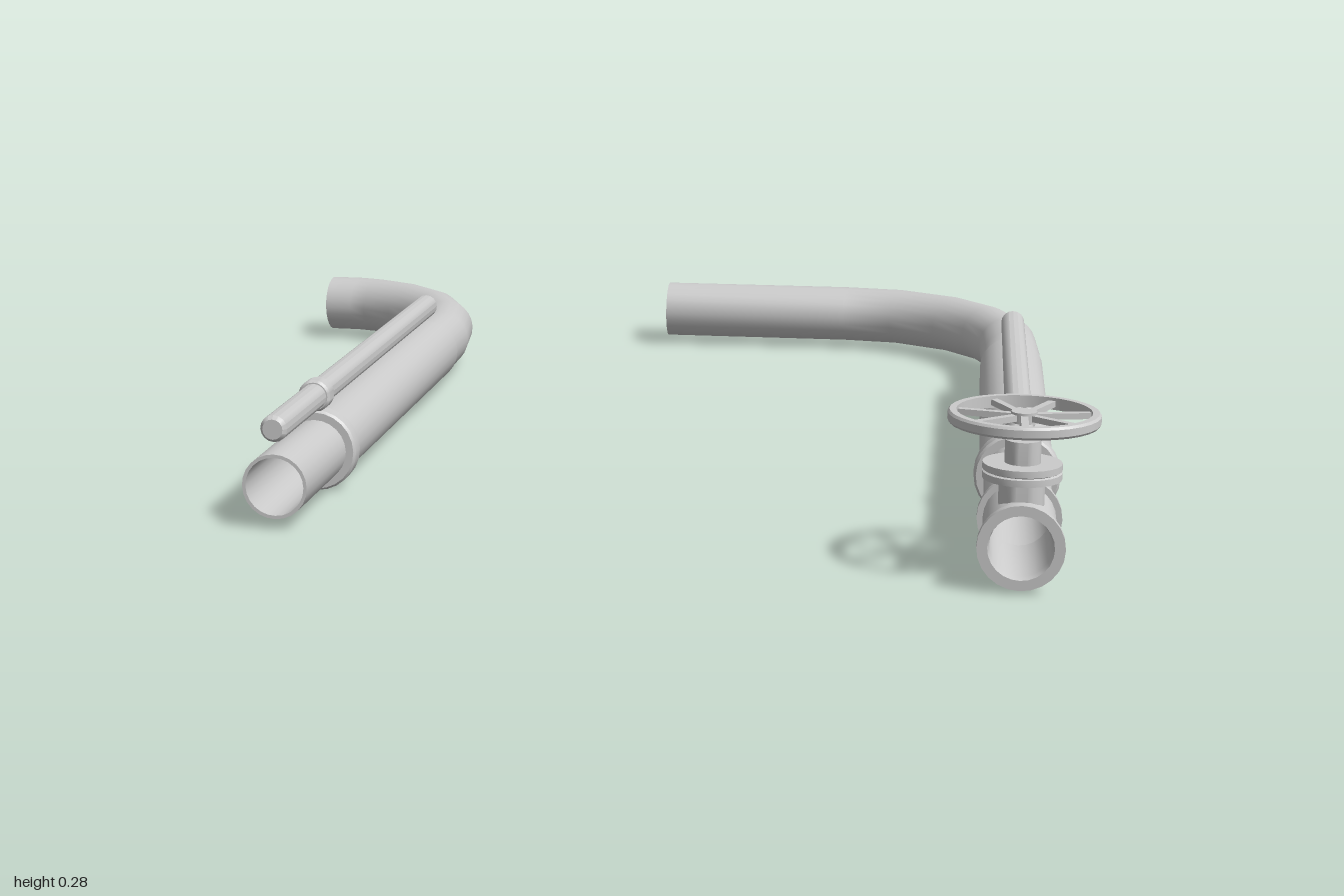
import * as THREE from 'three';
import { toCreasedNormals, mergeGeometries } from 'three/addons/utils/BufferGeometryUtils.js';

const mat = new THREE.MeshStandardMaterial({ color: 0xcccccc });
const openMat = new THREE.MeshStandardMaterial({ color: 0xcccccc, side: THREE.DoubleSide });
const AXIS_Y = 0.077;

function add(parent, name, geometry, material = mat) {
  const mesh = new THREE.Mesh(geometry, material);
  mesh.name = name;
  parent.add(mesh);
  return mesh;
}

// Turned part from [radius, height] pairs, sharp at its steps
function turned(profile, segments = 24) {
  const g = new THREE.LatheGeometry(profile.map(p => new THREE.Vector2(...p)), segments);
  return toCreasedNormals(g, 0.6);
}

// The same, with the axis laid along z
const turnedZ = (profile, segments) => turned(profile, segments).rotateX(Math.PI / 2);

// Round sweep with mitred joints along a flat path of [x, z, radius]
function sweep(path, inward = false, sides = 24) {
  const pos = [], idx = [];
  const dir = (a, b) => new THREE.Vector2(b[0] - a[0], b[1] - a[1]).normalize();
  path.forEach((p, i) => {
    const d0 = i > 0 ? dir(path[i - 1], p) : dir(p, path[1]);
    const d1 = i < path.length - 1 ? dir(p, path[i + 1]) : d0;
    const t = d0.clone().add(d1).normalize();
    const mitre = 1 / t.dot(d0);
    for (let j = 0; j < sides; j++) {
      const a = (j / sides) * Math.PI * 2;
      const s = Math.cos(a) * p[2] * mitre;
      pos.push(p[0] - t.y * s, AXIS_Y + Math.sin(a) * p[2], p[1] + t.x * s);
      if (i === path.length - 1) continue;
      const k = (j + 1) % sides;
      const A = i * sides + j, B = i * sides + k, C = A + sides, D = B + sides;
      if (inward) idx.push(A, B, C, B, D, C);
      else idx.push(A, C, B, B, C, D);
    }
  });
  const g = new THREE.BufferGeometry();
  g.setAttribute('position', new THREE.Float32BufferAttribute(pos, 3));
  g.setIndex(idx);
  g.computeVertexNormals();
  return g;
}

// Main pipe: straight run, bend, bore and end rims
function mainPipe(parent, x, bend) {
  const outer = [[x, 0.785, 0.058], [x, 0.5, 0.058]];
  const rear = [[x, -0.36, 0.063], ...bend.map(p => [...p, 0.063])];
  const bore = [[x, 0.785, 0.052], [x, -0.36, 0.052], ...bend.map(p => [...p, 0.053])];
  add(parent, 'frontPipe', sweep(outer), openMat);
  add(parent, 'sleeve', turnedZ([[0.053, -0.375], [0.066, -0.375], [0.066, 0.5], [0.053, 0.5]]),
    openMat).position.set(x, AXIS_Y, 0);
  add(parent, 'bentPipe', sweep(rear), openMat);
  add(parent, 'pipeBore', sweep(bore, true), openMat);
  const [ex, ez] = bend[bend.length - 1];
  const frontRim = new THREE.RingGeometry(0.052, 0.058, 24).translate(x, AXIS_Y, 0.785);
  const rearRim = new THREE.RingGeometry(0.053, 0.063, 24).rotateY(-Math.PI / 2).translate(ex, AXIS_Y, ez);
  add(parent, 'endRims', mergeGeometries([frontRim, rearRim]), openMat);
}

// Thin conduit on top, held by a double clamp
function conduit(parent, x) {
  const rod = turnedZ([[0, -0.372], [0.018, -0.372], [0.024, -0.364], [0.024, 0.777],
    [0.018, 0.785], [0, 0.785]], 16);
  add(parent, 'conduit', rod).position.set(x, 0.179, 0);
  const band = (r, inner) => turnedZ([[inner, 0.491], [r - 0.004, 0.491], [r, 0.496],
    [r, 0.524], [r - 0.004, 0.529], [inner, 0.529]]);
  add(parent, 'pipeClamp', band(0.076, 0.054), openMat).position.set(x, AXIS_Y, 0);
  add(parent, 'conduitClamp', band(0.03, 0.02), openMat).position.set(x, 0.179, 0);
}

// Valve: flanged body, bonnet, stem and spoked hand wheel
function valve(x) {
  const g = new THREE.Group();
  g.name = 'valve';
  g.position.set(x, 0, 0.878);
  add(g, 'valveBody', turnedZ([[0.052, -0.092], [0.07, -0.092], [0.07, -0.078], [0.06, -0.078],
    [0.06, 0.08], [0.07, 0.08], [0.07, 0.095], [0.053, 0.095], [0.05, 0.08], [0.05, -0.092]]),
    openMat).position.y = AXIS_Y;
  add(g, 'bonnet', turned([[0.037, 0.118], [0.037, 0.168], [0.064, 0.168], [0.064, 0.179],
    [0.06, 0.181], [0.064, 0.183], [0.064, 0.194], [0.029, 0.194], [0.029, 0.232], [0, 0.232]]));
  add(g, 'stem', new THREE.CylinderGeometry(0.007, 0.007, 0.05, 12)).position.y = 0.252;

  const wheel = new THREE.Group();
  wheel.name = 'handWheel';
  wheel.position.y = 0.269;
  g.add(wheel);
  add(wheel, 'wheelRim', turned([[0.108, -0.01], [0.119, -0.01], [0.122, -0.006], [0.122, 0.006],
    [0.119, 0.01], [0.108, 0.01], [0.108, -0.01]], 32));
  add(wheel, 'wheelHub', new THREE.CylinderGeometry(0.021, 0.021, 0.018, 16));
  const count = 7;
  for (let i = 0; i < count; i++) {
    const spoke = new THREE.BoxGeometry(0.012, 0.01, 0.1).translate(0, 0, 0.062);
    add(wheel, 'wheelSpoke', spoke).rotation.y = (i / count) * Math.PI * 2;
  }
  return g;
}

export function createModel() {
  const model = new THREE.Group();
  model.name = 'pipes';

  const shortPipe = new THREE.Group();
  shortPipe.name = 'shortPipe';
  mainPipe(shortPipe, -0.52, [[-0.522, -0.5], [-0.54, -0.63], [-0.592, -0.745], [-0.675, -0.83],
    [-0.76, -0.877], [-0.81, -0.893], [-0.878, -0.897]]);
  conduit(shortPipe, -0.52);

  const longPipe = new THREE.Group();
  longPipe.name = 'longPipe';
  mainPipe(longPipe, 0.754, [[0.754, -0.46], [0.748, -0.61], [0.703, -0.74], [0.62, -0.845],
    [0.496, -0.918], [0.37, -0.936], [-0.055, -0.937]]);
  conduit(longPipe, 0.754);
  longPipe.add(valve(0.754));

  model.add(shortPipe, longPipe);
  return model;
}
